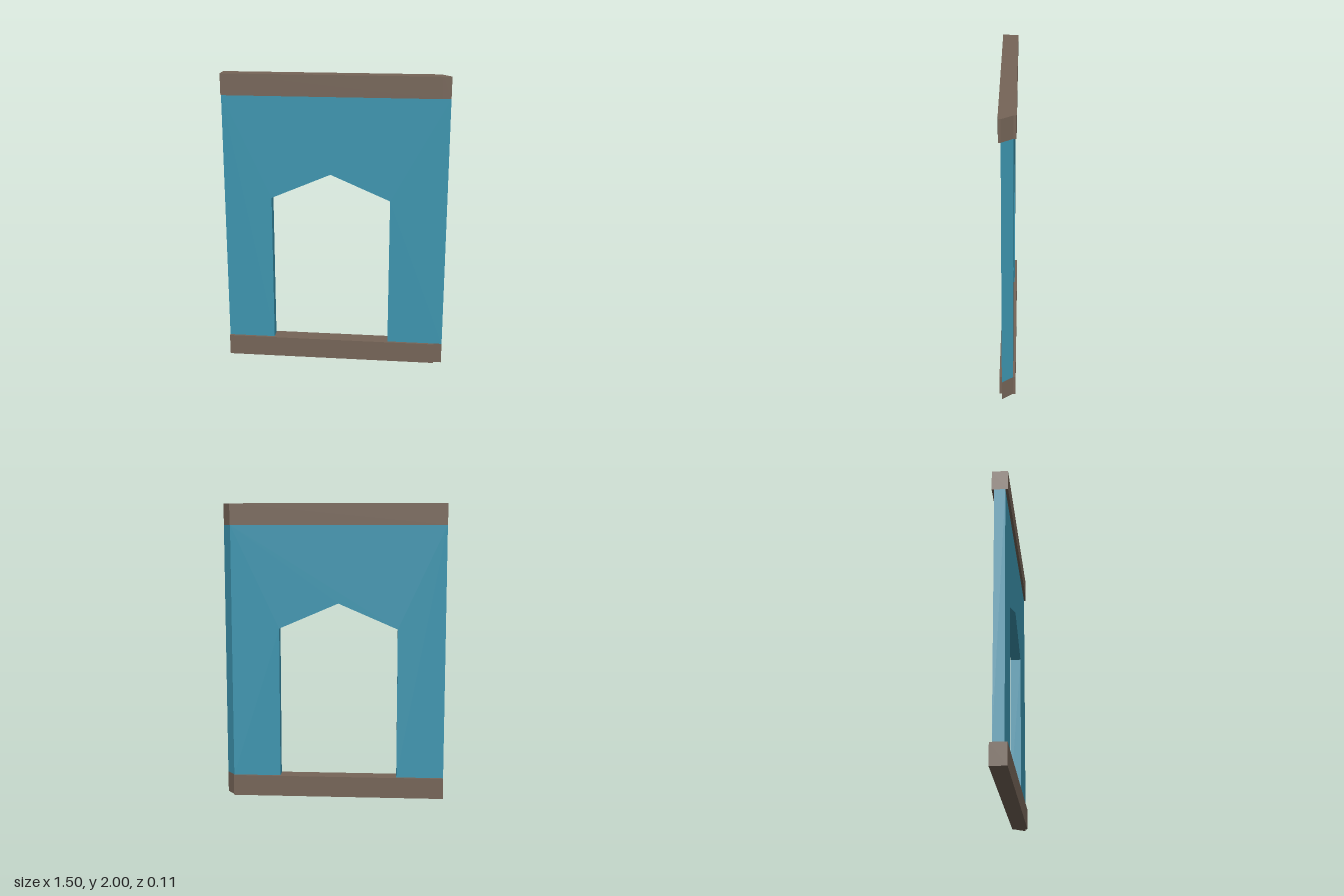
import * as THREE from 'three';

const LEFT = -0.75, BACK_END = 0.693, FRONT_END = 0.748; // right end is mitred
const WALL_Z = 0.036, TRIM_Z = 0.053;
const BEAM_H = 0.142, HEIGHT = 2;

const teal = new THREE.MeshStandardMaterial({ color: 0x3d95af, flatShading: true });
const brown = new THREE.MeshStandardMaterial({ color: 0x766558, flatShading: true });

const toShape = (points) => new THREE.Shape(points.map(([x, y]) => new THREE.Vector2(x, y)));

// Beam: an [x, z] footprint raised from y to y + BEAM_H
function beam(name, y, frontEdge) {
  const footprint = [
    [LEFT, TRIM_Z], ...frontEdge,
    [FRONT_END, WALL_Z], [BACK_END, -WALL_Z], [BACK_END, -TRIM_Z], [LEFT, -TRIM_Z],
  ];
  const geometry = new THREE.ExtrudeGeometry(toShape(footprint.map(([x, z]) => [x, -z])),
    { depth: BEAM_H, bevelEnabled: false });
  geometry.rotateX(-Math.PI / 2);
  const mesh = new THREE.Mesh(geometry, brown);
  mesh.name = name;
  mesh.position.y = y;
  return mesh;
}

// Wall panel with a pointed doorway, open at the bottom
function wall() {
  const bottom = BEAM_H, top = HEIGHT - BEAM_H;
  const outline = toShape([
    [LEFT, bottom], [-0.43, bottom], [-0.43, 1.165], [-0.03, 1.337], [0.37, 1.165],
    [0.37, bottom], [FRONT_END, bottom], [FRONT_END, top], [LEFT, top],
  ]);
  const geometry = new THREE.ExtrudeGeometry(outline, { depth: 2 * WALL_Z, bevelEnabled: false });
  geometry.translate(0, 0, -WALL_Z);
  // Pull the back of the right end in to form the mitre
  const p = geometry.attributes.position;
  for (let i = 0; i < p.count; i++) {
    if (p.getX(i) > 0.7 && p.getZ(i) < 0) p.setX(i, BACK_END);
  }
  geometry.computeVertexNormals();
  const mesh = new THREE.Mesh(geometry, teal);
  mesh.name = 'wallPanel';
  return mesh;
}

export function createModel() {
  const group = new THREE.Group();
  group.name = 'doorwayWall';
  group.add(
    wall(),
    // Front trim stops short at the bottom and runs to the corner at the top
    beam('bottomBeam', 0, [[BACK_END, TRIM_Z], [BACK_END, WALL_Z]]),
    beam('topBeam', HEIGHT - BEAM_H, [[BACK_END, TRIM_Z], [FRONT_END, 0.049]]),
  );
  return group;
}
